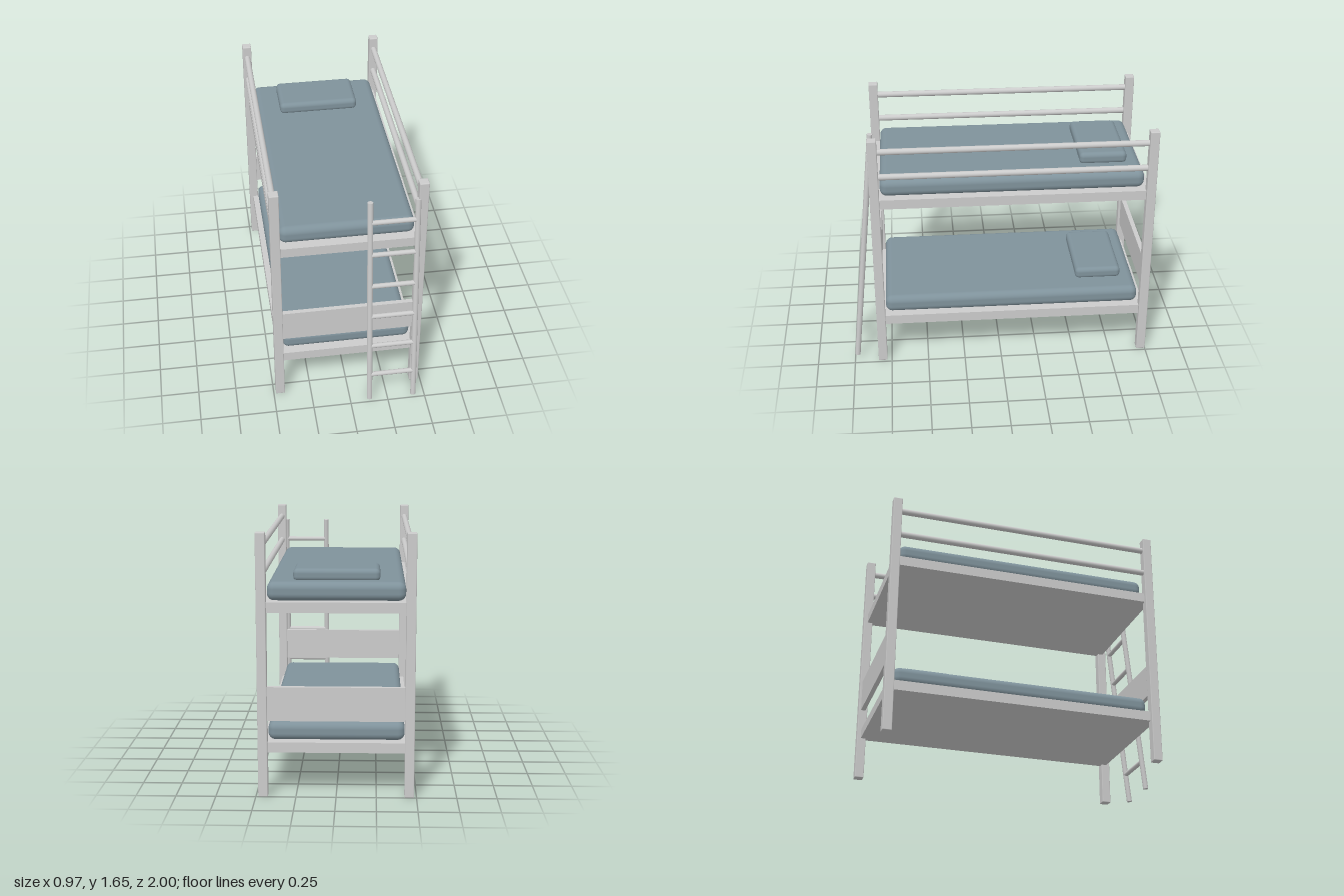
import * as THREE from 'three';
import { RoundedBoxGeometry } from 'three/addons/geometries/RoundedBoxGeometry.js';

const wood = new THREE.MeshStandardMaterial({ color: 0xcccccc });
const fabric = new THREE.MeshStandardMaterial({ color: 0x7f929b });

const FRONT_Z = 0.81, BACK_Z = -0.97, MID_Z = (FRONT_Z + BACK_Z) / 2;
const POST_X = 0.455, LENGTH = FRONT_Z - BACK_Z;

export function createModel() {
  const bed = new THREE.Group();
  bed.name = 'bunkBed';

  const add = (name, geometry, material, x, y, z) => {
    const mesh = new THREE.Mesh(geometry, material);
    mesh.name = name;
    mesh.position.set(x, y, z);
    bed.add(mesh);
    return mesh;
  };

  // Round bar between two points
  const bar = (name, from, to, radius) => {
    const a = new THREE.Vector3(...from), b = new THREE.Vector3(...to);
    const dir = b.clone().sub(a);
    const mesh = add(name, new THREE.CylinderGeometry(radius, radius, dir.length(), 16), wood,
      ...a.clone().add(b).multiplyScalar(0.5).toArray());
    mesh.quaternion.setFromUnitVectors(new THREE.Vector3(0, 1, 0), dir.normalize());
  };

  // Corner posts
  for (const x of [-POST_X, POST_X])
    for (const z of [FRONT_Z, BACK_Z])
      add('cornerPost', new RoundedBoxGeometry(0.06, 1.65, 0.06, 2, 0.005), wood, x, 0.825, z);

  // Two bunks: base slab, mattress and pillow
  for (const [level, y] of [['lower', 0.28], ['upper', 1.16]]) {
    add(level + 'Base', new THREE.BoxGeometry(0.92, 0.065, LENGTH + 0.01), wood, 0, y + 0.0325, MID_Z);
    add(level + 'Mattress', new RoundedBoxGeometry(0.85, 0.117, 1.71, 5, 0.045), fabric, 0, y + 0.1225, MID_Z);
    add(level + 'Pillow', new RoundedBoxGeometry(0.536, 0.08, 0.31, 5, 0.03), fabric, 0, y + 0.21, -0.685);
  }

  // Head and foot boards of the lower bunk
  add('footboard', new THREE.BoxGeometry(0.9, 0.215, 0.03), wood, 0, 0.592, FRONT_Z);
  add('headboard', new THREE.BoxGeometry(0.9, 0.215, 0.03), wood, 0, 0.592, BACK_Z);

  // Guard rails along both sides of the upper bunk
  for (const x of [-POST_X, POST_X])
    for (const y of [1.39, 1.565])
      bar('guardRail', [x, y, BACK_Z], [x, y, FRONT_Z], 0.02);

  // Leaning ladder
  const bottom = [0.02, 0.983], top = [1.538, 0.83];
  const leftX = 0.422, rightX = 0.127;
  for (const x of [leftX, rightX])
    bar('ladderRail', [x, ...bottom], [x, ...top], 0.018);
  for (let i = 0; i < 6; i++) {
    const y = 0.22 + i * 0.2345;
    const z = THREE.MathUtils.mapLinear(y, bottom[0], top[0], bottom[1], top[1]);
    bar('ladderRung', [rightX, y, z], [leftX, y, z], 0.016);
  }

  return bed;
}
